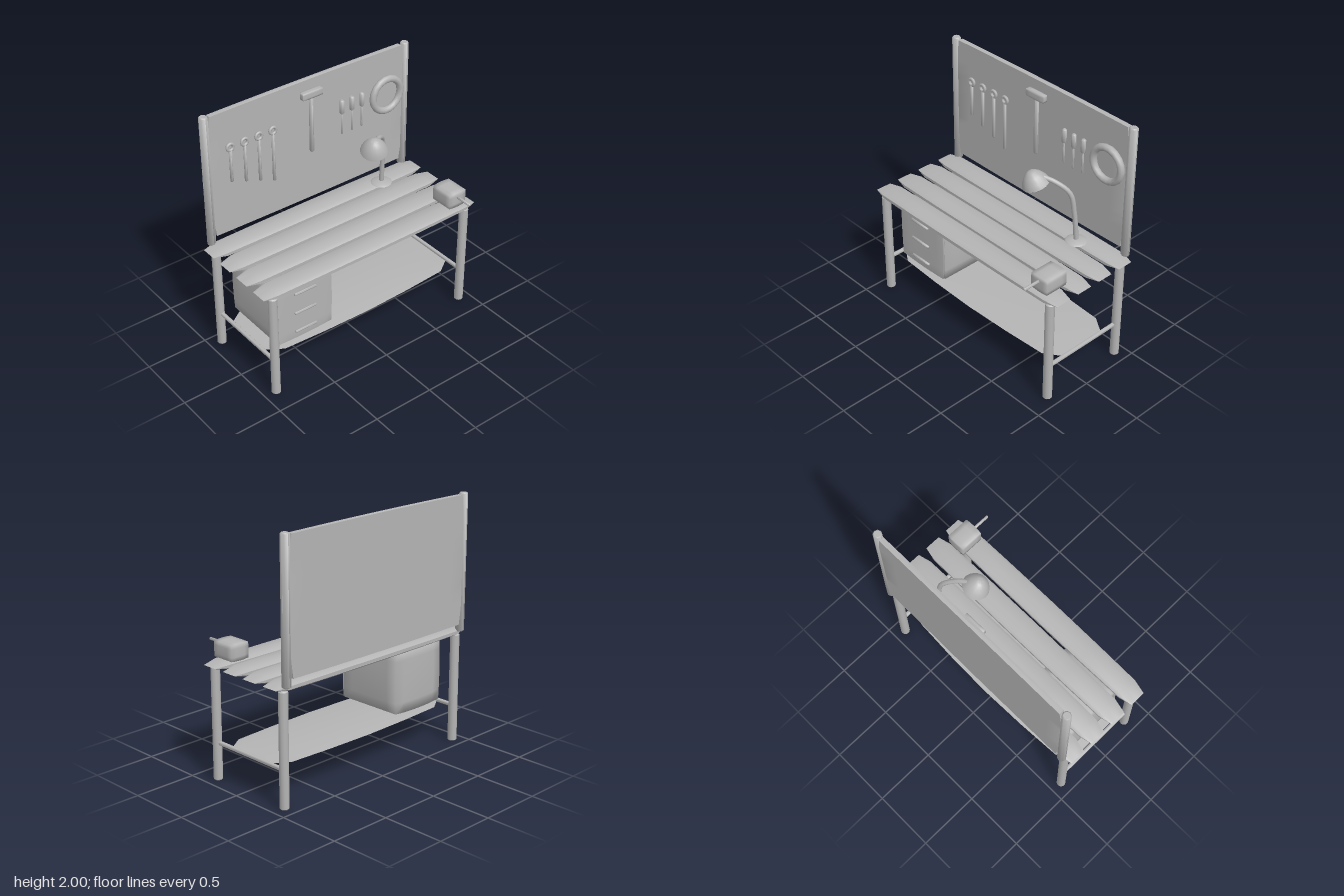
import * as THREE from 'three';
import { mergeVertices, toCreasedNormals } from 'three/addons/utils/BufferGeometryUtils.js';

const gray = new THREE.MeshStandardMaterial({ color: 0xb4b4b4 });
gray.name = 'plain gray';

function add(parent, name, geometry, x = 0, y = 0, z = 0) {
  const mesh = new THREE.Mesh(geometry, gray);
  mesh.name = name;
  mesh.position.set(x, y, z);
  parent.add(mesh);
  return mesh;
}

function section(parent, name) {
  const g = new THREE.Group();
  g.name = name;
  parent.add(g);
  return g;
}

// Upright rod with softly chamfered ends, running from y0 to y1
function rod(r, y0, y1, sides = 10, chamfer = 0.008) {
  const c = Math.min(chamfer, r * 0.4);
  const p = [[0, y0], [r - c, y0], [r, y0 + c], [r, y1 - c], [r - c, y1], [0, y1]];
  return toCreasedNormals(new THREE.LatheGeometry(p.map(([a, b]) => new THREE.Vector2(a, b)), sides), 0.75);
}

// Box whose faces swell outwards: b is the swell as a share of each half size
function swollenBox(w, h, d, b, seg = [6, 6, 6]) {
  let g = new THREE.BoxGeometry(w, h, d, ...seg);
  g.deleteAttribute('uv');
  g.deleteAttribute('normal');
  g = mergeVertices(g);
  const p = g.attributes.position;
  for (let i = 0; i < p.count; i++) {
    const x = p.getX(i), y = p.getY(i), z = p.getZ(i);
    const [u, v, t] = [(2 * x / w) ** 2, (2 * y / h) ** 2, (2 * z / d) ** 2];
    p.setXYZ(i,
      x * (1 + b[0] * (1 - v) * (1 - t / 2)),
      y * (1 + b[1] * (1 - u) * (1 - t / 2)),
      z * (1 + b[2] * (1 - u) * (1 - v / 2)));
  }
  g.computeVertexNormals();
  return g;
}

// Long slab along x lofted from [x, half height, half depth] stations
function slab(stations, ring) {
  const pos = [], idx = [], n = ring.length;
  for (const [x, hy, hz] of stations) for (const [y, z] of ring) pos.push(x, y * hy, z * hz);
  for (let i = 0; i < stations.length - 1; i++) for (let j = 0; j < n; j++) {
    const a = i * n + j, d = i * n + (j + 1) % n;
    idx.push(a, d, d + n, a, d + n, a + n);
  }
  const g = new THREE.BufferGeometry();
  g.setAttribute('position', new THREE.Float32BufferAttribute(pos, 3));
  g.setIndex(idx);
  return toCreasedNormals(g, 0.9);
}

const mirrored = (half) => [...half.map(([x, a, b]) => [-x, a, b]), ...half.slice(0, -1).reverse()];

export function createModel() {
  const model = new THREE.Group();
  model.name = 'workbench';

  // Bench top planks with wedge-shaped ends
  const top = section(model, 'benchTop');
  const plankRing = [[1, 0], [1, 0.75], [0.45, 1], [-0.45, 1], [-1, 0.75], [-1, 0], [-1, -0.75], [-0.45, -1], [0.45, -1], [1, -0.75]];
  const plank = slab(mirrored([[0.99, 0, 0.065], [0.88, 0.026, 0.089], [0.5, 0.029, 0.094], [0, 0.031, 0.096]]), plankRing);
  for (let i = 0; i < 4; i++) add(top, 'plank', plank, 0, 0.908, 0.27 - i * 0.21);

  // Legs, side rails and panel posts
  const frame = section(model, 'frame');
  for (const s of [-1, 1]) {
    add(frame, 'frontLeg', rod(0.036, 0, 0.885), s * 0.902, 0, 0.315);
    add(frame, 'backLeg', rod(0.036, 0, 0.885), s * 0.902, 0, -0.405);
    add(frame, 'panelPost', rod(0.034, 0.915, 2, 8), s * 0.907, 0, -0.445);
    add(frame, 'sideRail', rod(0.017, -0.36, 0.36), s * 0.9, 0.295, -0.045).rotation.x = Math.PI / 2;
  }

  // Thin lower shelf with cut corners
  const shelfRing = [[1, 0], [0.7, 0.7], [0, 1], [-0.7, 0.7], [-1, 0], [-0.7, -0.7], [0, -1], [0.7, -0.7]];
  add(frame, 'lowerShelf', slab(mirrored([[0.88, 0, 0.21], [0.76, 0.011, 0.29], [0.4, 0.016, 0.31], [0, 0.018, 0.32]]), shelfRing), 0, 0.294, -0.045);

  // Drawer cabinet
  const cabinet = section(model, 'drawerCabinet');
  add(cabinet, 'cabinetBody', swollenBox(0.49, 0.498, 0.55, [0.065, 0.05, 0.07]), -0.57, 0.597, -0.05);
  add(cabinet, 'cabinetFront', swollenBox(0.475, 0.49, 0.02, [0.06, 0.05, 0.3], [6, 6, 2]), -0.57, 0.597, 0.233);
  for (const y of [0.76, 0.587, 0.417]) {
    add(cabinet, 'drawerHandle', rod(0.011, -0.097, 0.097, 8), -0.575, y, 0.257).rotation.z = Math.PI / 2;
  }

  // Tool panel
  add(model, 'toolPanel', toCreasedNormals(swollenBox(1.73, 1.01, 0.04, [0.089, 0.025, 0], [12, 12, 2]), 0.6), 0, 1.4825, -0.45);

  // Ring spanners
  const tools = section(model, 'hangingTools');
  [1.4, 1.355, 1.31, 1.26].forEach((end, i) => {
    const x = -0.714 + i * 0.1235;
    add(tools, 'spannerRing', new THREE.TorusGeometry(0.027, 0.0115, 8, 14), x, 1.69, -0.422);
    add(tools, 'spannerShaft', rod(0.013, end, 1.665, 8), x, 0, -0.422);
  });

  // Mallet
  add(tools, 'malletHead', swollenBox(0.176, 0.053, 0.044, [0.03, 0.12, 0.1], [4, 4, 4]), 0, 1.882, -0.411);
  add(tools, 'malletHandle', rod(0.018, 1.385, 1.87, 8), 0, 0, -0.415);

  // Screwdrivers
  for (let i = 0; i < 3; i++) {
    const x = 0.286 + i * 0.095;
    add(tools, 'screwdriverHandle', rod(0.019, 1.605, 1.72, 8), x, 0, -0.418);
    add(tools, 'screwdriverShaft', rod(0.008, 1.43, 1.61, 6), x, 0, -0.418);
  }

  // Coil
  add(tools, 'coil', new THREE.TorusGeometry(0.134, 0.028, 10, 18), 0.714, 1.622, -0.411);

  // Desk lamp
  const lamp = section(model, 'lamp');
  const baseProfile = [[0, 0], [0.07, 0], [0.084, 0.01], [0.07, 0.02], [0.02, 0.028], [0, 0.028]];
  add(lamp, 'lampBase', toCreasedNormals(new THREE.LatheGeometry(baseProfile.map(([a, b]) => new THREE.Vector2(a, b)), 16), 0.7), 0.57, 0.938, -0.283);
  const armPath = new THREE.CatmullRomCurve3([
    [0.57, 0.95, -0.283], [0.56, 1.2, -0.262], [0.535, 1.37, -0.235], [0.45, 1.458, -0.165], [0.38, 1.485, -0.12],
  ].map((p) => new THREE.Vector3(...p)));
  add(lamp, 'lampArm', new THREE.TubeGeometry(armPath, 20, 0.019, 8));
  const shadeProfile = [[0, 0.004], [0.098, 0], [0.106, 0.008], [0.092, 0.045], [0.065, 0.085], [0.035, 0.113], [0.02, 0.12], [0, 0.122]];
  const shade = add(lamp, 'lampShade', toCreasedNormals(new THREE.LatheGeometry(shadeProfile.map(([a, b]) => new THREE.Vector2(a, b)), 16), 0.8), 0.335, 1.416, -0.092);
  shade.quaternion.setFromUnitVectors(new THREE.Vector3(0, 1, 0), new THREE.Vector3(-0.22, 1, 0.3).normalize());

  // Vise
  const vise = section(model, 'vise');
  add(vise, 'viseBlock', swollenBox(0.156, 0.12, 0.19, [0.06, 0.12, 0.07], [4, 4, 4]), 0.81, 1.01, 0.24);
  add(vise, 'viseHandle', rod(0.0115, 0.32, 0.48, 8), 0.807, 1.034, 0).rotation.x = Math.PI / 2;

  return model;
}
